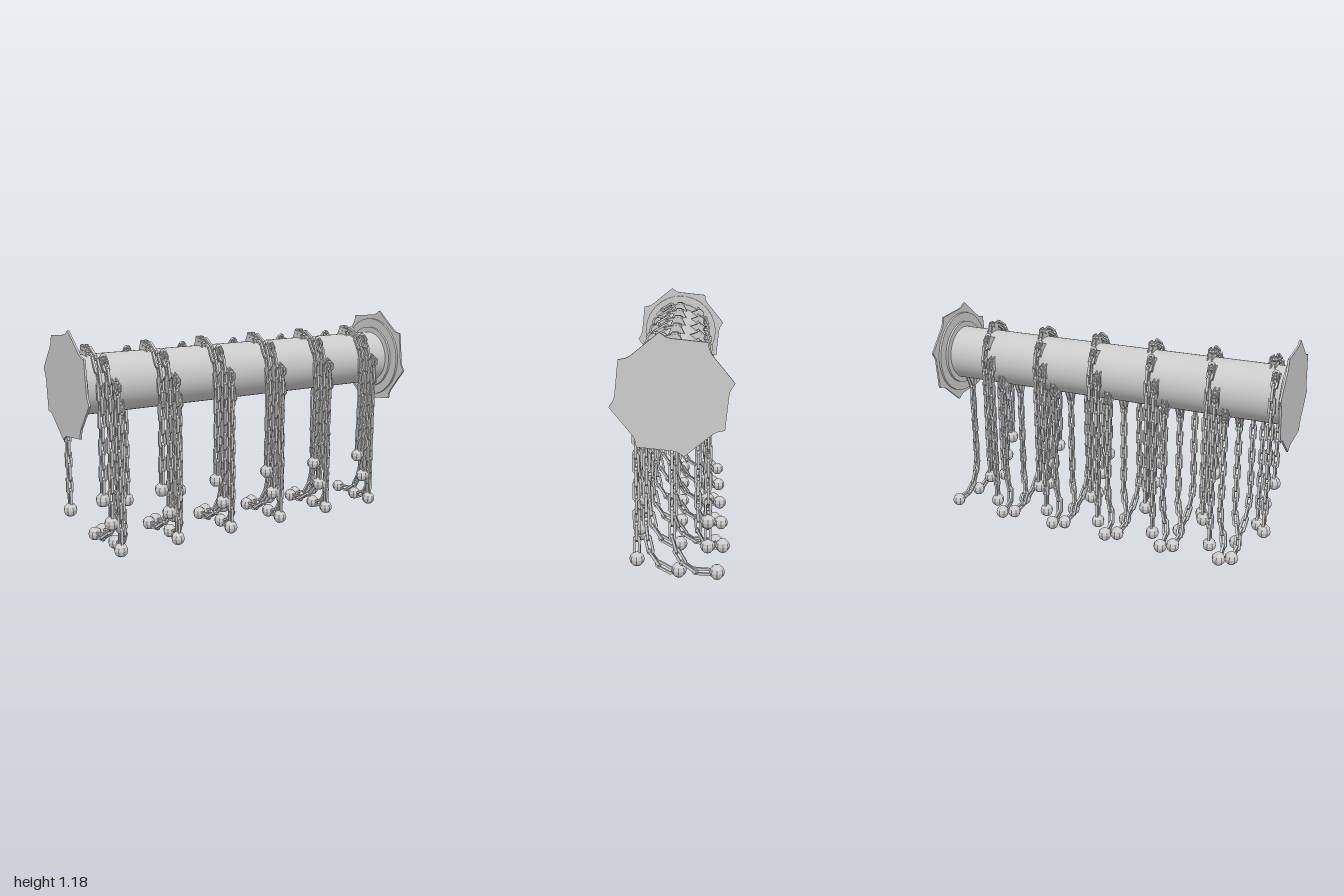
import * as THREE from 'three';
import { mergeGeometries } from 'three/addons/utils/BufferGeometryUtils.js';

const AXIS_Y = 0.9;
const smooth = new THREE.MeshStandardMaterial({ color: 0xcccccc });
const faceted = new THREE.MeshStandardMaterial({ color: 0xcccccc, flatShading: true });

function add(parent, name, geometry, material = faceted) {
  const mesh = new THREE.Mesh(geometry, material);
  mesh.name = name;
  parent.add(mesh);
  return mesh;
}

// Eight-toothed end plate: a tip, a scooped notch, then a straight run to the next tip
function endPlateGeometry() {
  const s = new THREE.Shape();
  const at = (x, y, k) => {
    const a = -k * Math.PI / 4;
    return [x * Math.cos(a) - y * Math.sin(a), x * Math.sin(a) + y * Math.cos(a)];
  };
  s.moveTo(-0.055, 0.28);
  for (let k = 0; k < 8; k++) {
    s.lineTo(...at(-0.042, 0.272, k));
    s.quadraticCurveTo(...at(-0.025, 0.256, k), ...at(0.005, 0.253, k));
    s.lineTo(...at(-0.055, 0.28, k + 1));
  }
  const g = new THREE.ExtrudeGeometry(s, { depth: 0.01, bevelEnabled: false, curveSegments: 5 });
  return g.rotateY(Math.PI / 2);
}

// Flat chain link: long octagon with a slot
function linkGeometry() {
  const w = 0.018, h = 0.049, c = 0.011, t = 0.013;
  const octagon = (w, h, c) => [
    [w, h - c], [w - c, h], [c - w, h], [-w, h - c],
    [-w, c - h], [c - w, -h], [w - c, -h], [w, c - h],
  ].map(p => new THREE.Vector2(...p));
  const s = new THREE.Shape(octagon(w, h, c));
  s.holes.push(new THREE.Path(octagon(0.0065, 0.037, 0.004)));
  return new THREE.ExtrudeGeometry(s, { depth: t, bevelEnabled: false }).translate(0, 0, -t / 2);
}

// Pair of lugs with a pin, standing up from the drum's surface
function lugGeometry() {
  const s = new THREE.Shape([
    [-0.045, 0.14], [0.045, 0.14], [0.016, 0.2], [-0.016, 0.2],
  ].map(p => new THREE.Vector2(...p)));
  const plate = x => new THREE.ExtrudeGeometry(s, { depth: 0.006, bevelEnabled: false })
    .rotateY(Math.PI / 2).translate(x, 0, 0);
  const pin = new THREE.CylinderGeometry(0.01, 0.01, 0.034, 8)
    .rotateZ(Math.PI / 2).translate(0, 0.178, 0).toNonIndexed();
  return mergeGeometries([plate(0.008), plate(-0.014), pin]);
}

// Hanging path of each chain as [z, y], one for every eighth of a turn
const PATHS = [
  [[-0.13, 1.03], [-0.165, 0.96], [-0.168, 0.88], [-0.168, 0.5], [-0.168, 0.21]],
  [[0, 1.085], [0.09, 1.06], [0.15, 0.97], [0.165, 0.88], [0.165, 0.6], [0.155, 0.34]],
  [[0.13, 1.03], [0.165, 0.96], [0.17, 0.88], [0.17, 0.5], [0.155, 0.21]],
  [[0.175, 0.9], [0.172, 0.5], [0.172, 0.066]],
  [[0.12, 0.78], [0.12, 0.5], [0.12, 0.22], [0.09, 0.1], [0.03, 0.045], [-0.03, 0.037]],
  [[0, 0.73], [0, 0.5], [0, 0.28], [-0.005, 0.19], [-0.05, 0.09], [-0.11, 0.045], [-0.21, 0.037]],
  [[-0.12, 0.78], [-0.12, 0.5], [-0.12, 0.2], [-0.13, 0.1], [-0.17, 0.05], [-0.245, 0.037]],
  [[-0.172, 0.9], [-0.17, 0.5], [-0.168, 0.066]],
];
const DRIFT = [0, 0, 0, 0, 0.02, -0.055, -0.037, 0]; // sideways lay of the trailing ends

function chainGeometry(path, drift, link) {
  const points = path.map(([z, y]) =>
    new THREE.Vector3(drift * Math.max(0, 0.2 - y) / 0.163, y, z));
  const curve = new THREE.CatmullRomCurve3(points, false, 'centripetal');
  const length = curve.getLength();
  const parts = [];
  // Links are laid from the ball upwards, each turned a quarter from the last
  for (let d = length - 0.068, k = 0; d > 0; d -= 0.068, k++) {
    const y = curve.getTangentAt(d / length);
    let z = new THREE.Vector3(1, 0, 0).addScaledVector(y, -y.x).normalize();
    if (k % 2) z = z.cross(y);
    const x = new THREE.Vector3().crossVectors(y, z);
    const m = new THREE.Matrix4().makeBasis(x, y, z).setPosition(curve.getPointAt(d / length));
    parts.push(link.clone().applyMatrix4(m));
  }
  return { links: mergeGeometries(parts), end: points[points.length - 1] };
}

export function createModel() {
  const model = new THREE.Group();
  model.name = 'flailDrum';

  // Drum
  const drum = add(model, 'drum',
    new THREE.CylinderGeometry(0.15, 0.15, 1.97, 48).rotateZ(Math.PI / 2), smooth);
  drum.position.y = AXIS_Y;

  // Stepped flanges and toothed plates at both ends
  const plate = endPlateGeometry();
  for (const side of [-1, 1]) {
    const end = new THREE.Group();
    end.name = side > 0 ? 'leftEnd' : 'rightEnd';
    end.position.y = AXIS_Y;
    model.add(end);
    add(end, 'toothedPlate', plate).position.x = side > 0 ? 0.99 : -1;
    for (const [name, r, x, w] of [['flange', 0.23, 0.984, 0.012], ['collar', 0.18, 0.973, 0.016]]) {
      add(end, name, new THREE.CylinderGeometry(r, r, w, 40).rotateZ(Math.PI / 2), smooth)
        .position.x = side * x;
    }
  }

  // Chains in a helix: eight to a turn along the drum
  const link = linkGeometry();
  const lug = lugGeometry();
  const ball = new THREE.SphereGeometry(0.037, 8, 6);
  const chains = PATHS.map((path, i) => chainGeometry(path, DRIFT[i], link));
  const lastChain = chainGeometry(PATHS[5], 0, link);
  const COUNT = 46;
  for (let i = 0; i < COUNT; i++) {
    const phase = i % 8;
    const chain = i === COUNT - 1 ? lastChain : chains[phase];
    const flail = new THREE.Group();
    flail.name = 'flail';
    flail.position.x = -0.93 + i * 1.86 / (COUNT - 1);
    const bracket = add(flail, 'lug', lug);
    bracket.position.y = AXIS_Y;
    bracket.rotation.x = (phase - 1) * Math.PI / 4;
    add(flail, 'chain', chain.links);
    add(flail, 'ball', ball).position.copy(chain.end);
    model.add(flail);
  }
  return model;
}
